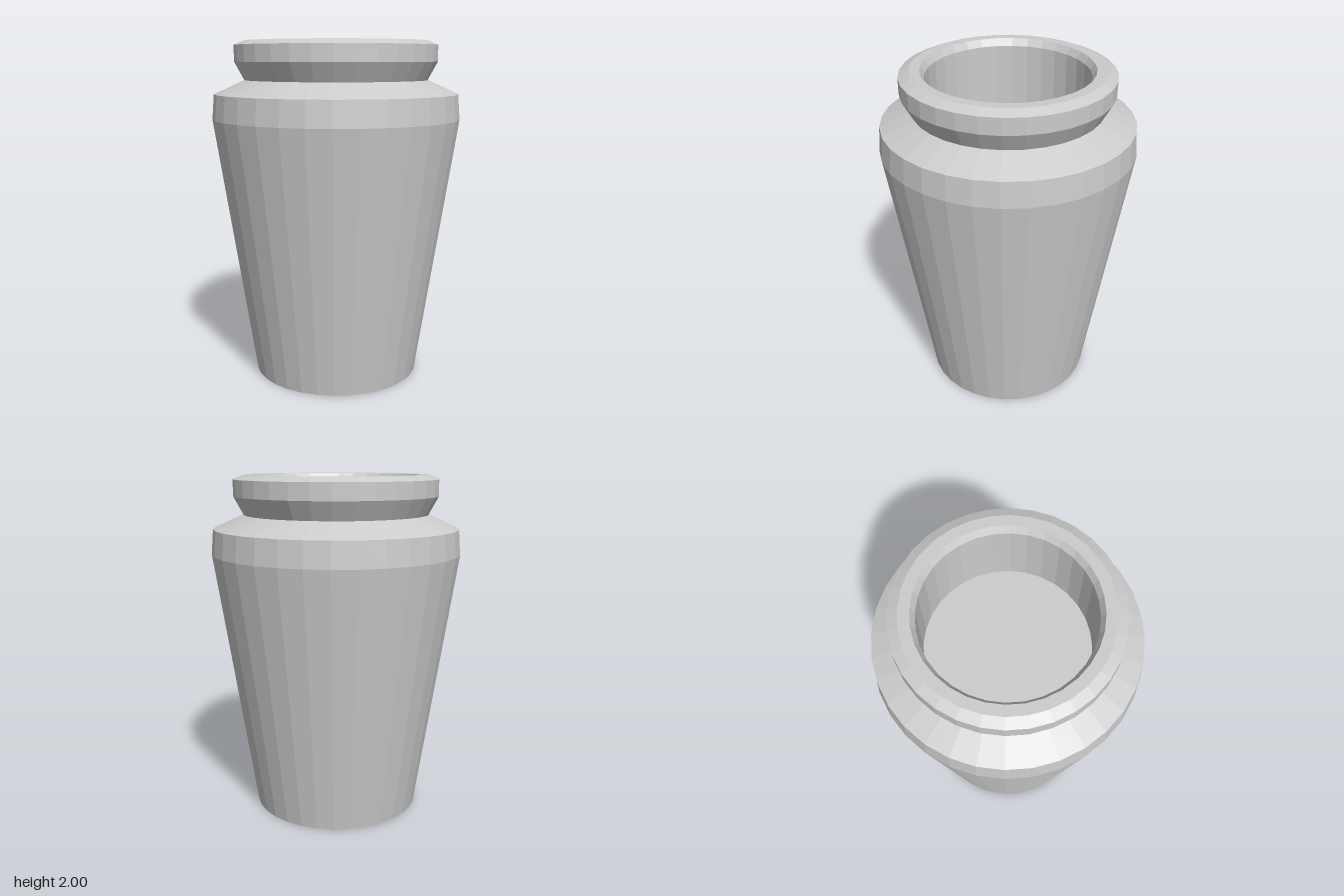
import * as THREE from 'three';

const SIDES = 32;

// Faceted solid of revolution from [radius, height] pairs
function turned(name, profile, material) {
  const points = profile.map(([r, y]) => new THREE.Vector2(r, y));
  const mesh = new THREE.Mesh(new THREE.LatheGeometry(points, SIDES), material);
  mesh.name = name;
  return mesh;
}

export function createModel() {
  const group = new THREE.Group();
  group.name = 'jar';
  const material = new THREE.MeshStandardMaterial({ color: 0xcccccc, flatShading: true });

  // Base, tapered body and sloping shoulder
  group.add(turned('body', [[0, 0], [0.495, 0], [0.73, 1.55], [0.718, 1.695], [0.54, 1.775]], material));

  // Flared neck with a bevelled collar and rim
  group.add(turned('collar', [[0.54, 1.775], [0.597, 1.88], [0.597, 1.975], [0.54, 2], [0.48, 2]], material));

  // Bevelled mouth, inner wall and inner floor
  group.add(turned('mouth', [[0.48, 2], [0.457, 1.96], [0.457, 1.56], [0, 1.56]], material));

  return group;
}
